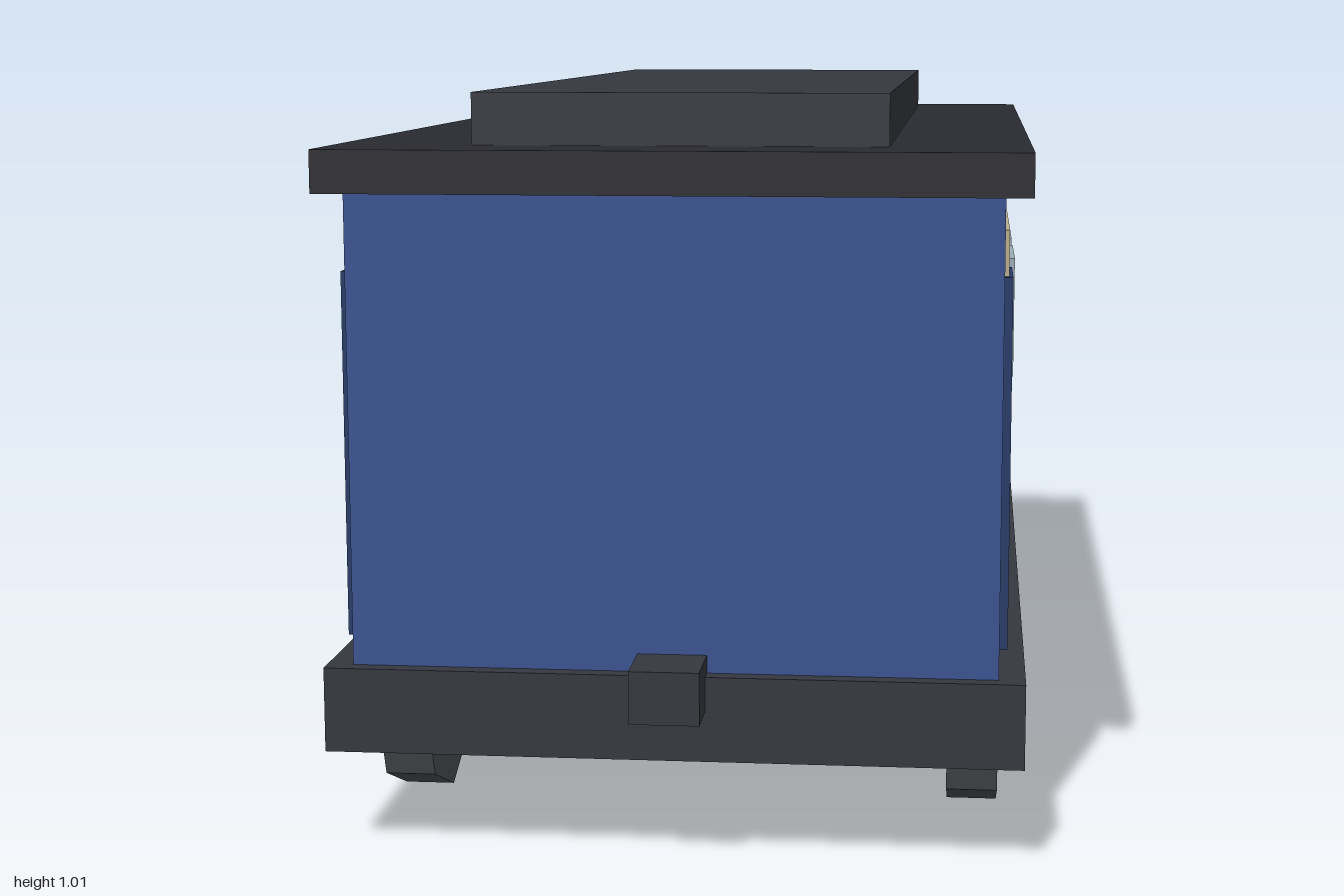
import * as THREE from 'three';

const paint = (color) => new THREE.MeshStandardMaterial({ color, flatShading: true });

export function createModel() {
  const model = new THREE.Group();
  const blue = paint(0x3a5190), navy = paint(0x263a66), cream = paint(0xb8ad8e);
  const glass = paint(0x9aabb5), iron = paint(0x34373e), dark = paint(0x2a2b30), steel = paint(0x4b4e52);

  // Box given by its lower and upper limits on each axis
  function box(name, material, [x0, x1], [y0, y1], [z0, z1]) {
    const mesh = new THREE.Mesh(new THREE.BoxGeometry(x1 - x0, y1 - y0, z1 - z0), material);
    mesh.position.set((x0 + x1) / 2, (y0 + y1) / 2, (z0 + z1) / 2);
    mesh.name = name;
    model.add(mesh);
  }

  // Underframe, carriage body and stepped roof
  box('underframe', iron, [-0.463, 0.463], [0.142, 0.256], [-0.93, 0.93]);
  box('body', blue, [-0.428, 0.428], [0.256, 0.885], [-0.908, 0.908]);
  box('roof', dark, [-0.463, 0.463], [0.885, 0.942], [-0.941, 0.941]);
  box('raisedRoof', iron, [-0.277, 0.277], [0.942, 1.012], [-0.812, 0.812]);

  // Couplers at both ends
  box('frontCoupler', iron, [-0.046, 0.046], [0.21, 0.28], [0.88, 1]);
  box('backCoupler', iron, [-0.046, 0.046], [0.21, 0.28], [-1, -0.88]);

  // Eight-sided wheels, one corner pointing down
  const wheelGeometry = new THREE.CylinderGeometry(0.175, 0.175, 0.07, 8).rotateZ(Math.PI / 2);

  for (const side of [-1, 1]) {
    const label = side > 0 ? 'left' : 'right';
    const span = (outer) => (side > 0 ? [0.41, outer] : [-outer, -0.41]);

    // Window band and windows
    box(label + 'WindowBand', cream, span(0.434), [0.584, 0.84], [-0.873, 0.873]);
    for (let i = -2; i <= 2; i++) {
      const z = i * 0.314;
      box(label + 'Window', glass, span(0.443), [0.63, 0.79], [z - 0.1, z + 0.1]);
    }

    for (const end of [-1, 1]) {
      // Doors near the ends
      const z = end * 0.815;
      box(label + 'Door', navy, span(0.439), [0.291, 0.78], [z - 0.071, z + 0.071]);

      const wheel = new THREE.Mesh(wheelGeometry, steel);
      wheel.position.set(side * 0.395, 0.175, end * 0.605);
      wheel.name = label + 'Wheel';
      model.add(wheel);
    }
  }
  return model;
}
